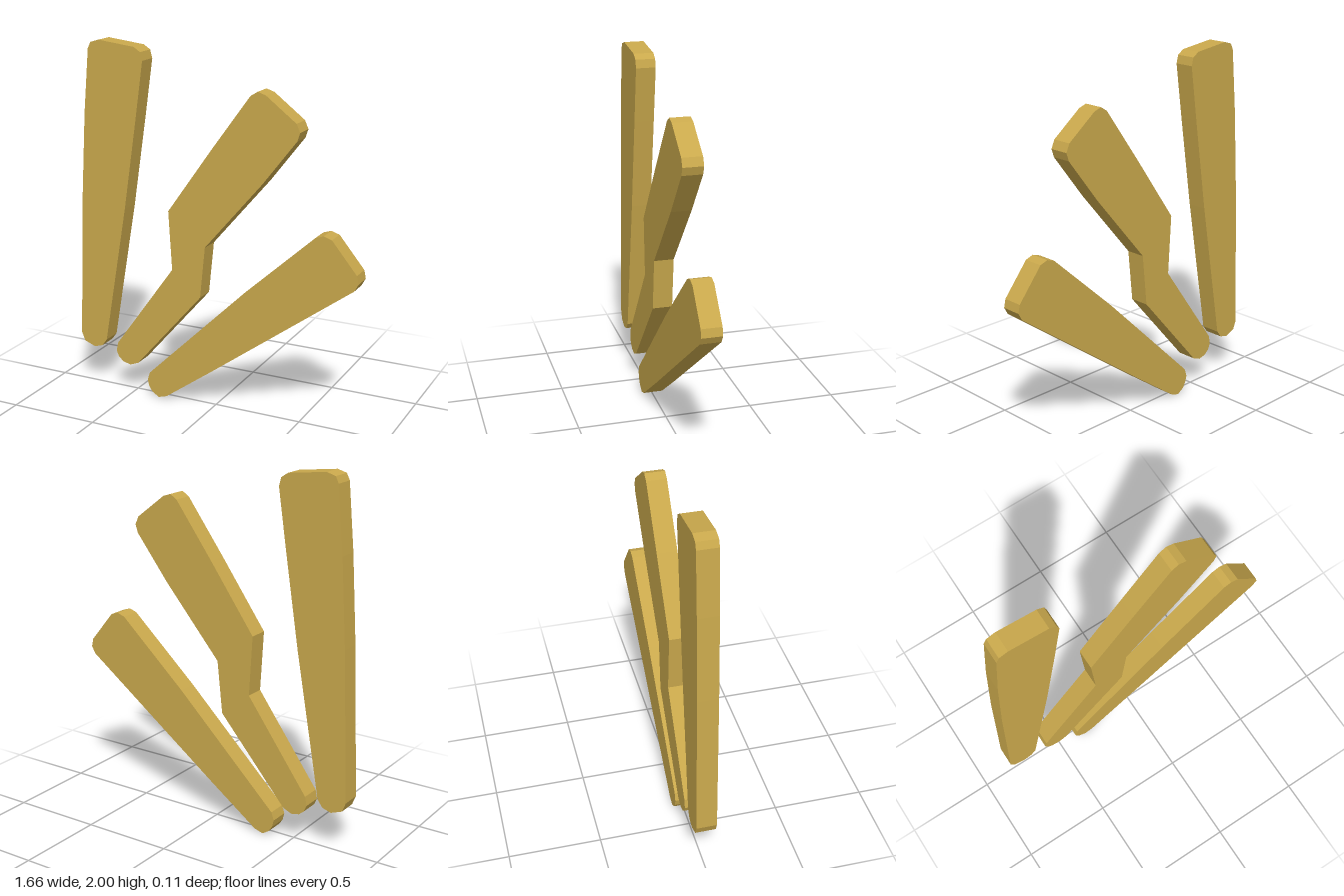
import * as THREE from 'three';

const DEPTH = 0.11;

// Outlines run clockwise from the top corner of each bar.
const BARS = {
  uprightBar: [
    [-0.67, 2], [-0.455, 1.975], [-0.417, 1.95], [-0.405, 1.905], [-0.45, 1.6], [-0.53, 1.085],
    [-0.67, 0.29], [-0.70, 0.25], [-0.75, 0.235], [-0.815, 0.26], [-0.835, 0.31],
    [-0.80, 1.13], [-0.77, 1.6], [-0.737, 1.95], [-0.72, 1.985],
  ],
  crankedBar: [
    [0.26, 1.795], [0.305, 1.78], [0.475, 1.65], [0.495, 1.605], [0.48, 1.56], [0.29, 1.315],
    [-0.04, 0.93], [-0.07, 0.64], [-0.465, 0.185], [-0.515, 0.165], [-0.56, 0.175],
    [-0.59, 0.2], [-0.605, 0.235], [-0.595, 0.285], [-0.24, 0.775], [-0.26, 1.105],
    [0, 1.47], [0.22, 1.77],
  ],
  slantedBar: [
    [0.635, 1.085], [0.68, 1.07], [0.82, 0.9], [0.83, 0.855], [0.808, 0.815], [0, 0.22],
    [-0.285, 0.015], [-0.335, 0], [-0.375, 0.025], [-0.395, 0.055], [-0.405, 0.095],
    [-0.39, 0.14], [0.2, 0.715], [0.59, 1.07],
  ],
};

export function createModel() {
  const group = new THREE.Group();
  group.name = 'threeBars';
  const gold = new THREE.MeshStandardMaterial({ color: 0xc9a84c });
  gold.name = 'gold';

  // Each bar is a flat slab cut from its outline
  for (const [name, points] of Object.entries(BARS)) {
    const shape = new THREE.Shape(points.map(([x, y]) => new THREE.Vector2(x, y)));
    const geometry = new THREE.ExtrudeGeometry(shape, { depth: DEPTH, bevelEnabled: false });
    geometry.translate(0, 0, -DEPTH / 2);
    const bar = new THREE.Mesh(geometry, gold);
    bar.name = name;
    group.add(bar);
  }
  return group;
}
